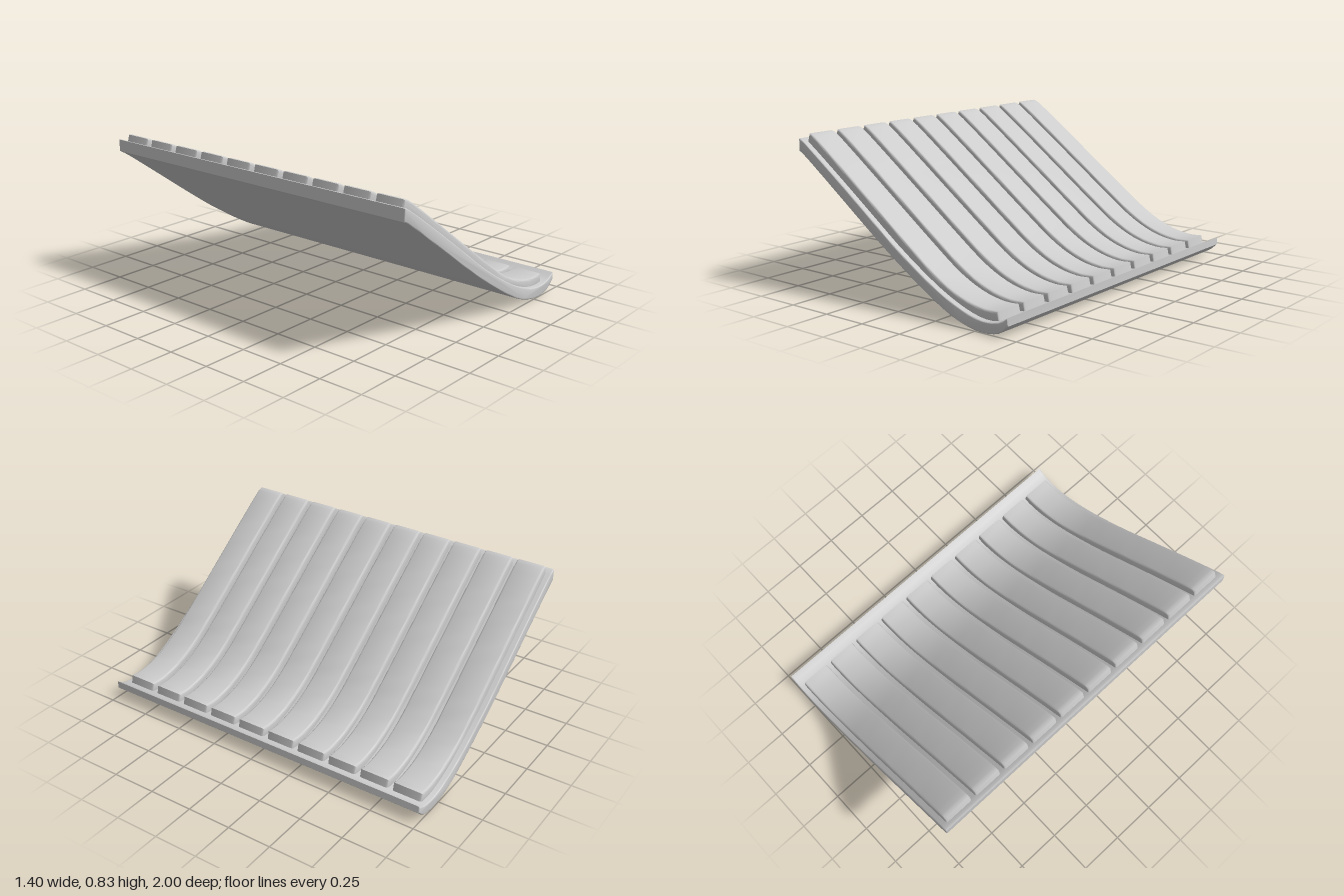
import * as THREE from 'three';
import { toCreasedNormals } from 'three/addons/utils/BufferGeometryUtils.js';

const material = new THREE.MeshStandardMaterial({ color: 0xcccccc });

// Side-view curves, running from the high end to the low, upturned end
const under = [[-0.697, 0.745], [-0.634, 0.706], [-0.42, 0.552], [-0.2, 0.392], [0, 0.253],
  [0.234, 0.109], [0.385, 0.036], [0.528, 0.004], [0.64, 0.018], [0.7, 0.065]];
const upper = [[-0.697, 0.811], [-0.65, 0.789], [-0.42, 0.628], [-0.2, 0.468], [0.008, 0.317],
  [0.234, 0.177], [0.404, 0.098], [0.536, 0.064], [0.64, 0.073], [0.698, 0.105]];
const padTop = [[-0.655, 0.837], [-0.605, 0.817], [-0.4, 0.671], [-0.2, 0.525], [0.04, 0.35],
  [0.234, 0.215], [0.385, 0.143], [0.517, 0.113], [0.613, 0.114]];
const padUnder = [[-0.672, 0.775], [-0.42, 0.603], [-0.2, 0.443], [0.008, 0.292],
  [0.234, 0.152], [0.404, 0.073], [0.536, 0.04], [0.628, 0.05]];

const smooth = (points) =>
  new THREE.SplineCurve(points.map(([x, y]) => new THREE.Vector2(x, y))).getPoints(28);

// Extrudes the area between two curves across z, with rounded rims
function curvedSlab(name, bottom, top, width, bevel) {
  const shape = new THREE.Shape([...smooth(bottom), ...smooth(top).reverse()]);
  const geometry = new THREE.ExtrudeGeometry(shape, {
    depth: width - 2 * bevel,
    bevelThickness: bevel,
    bevelSize: bevel,
    bevelOffset: -bevel,
    bevelSegments: 3,
  });
  geometry.translate(0, 0, bevel - width / 2);
  const mesh = new THREE.Mesh(toCreasedNormals(geometry, 0.6), material);
  mesh.name = name;
  return mesh;
}

export function createModel() {
  const model = new THREE.Group();
  model.name = 'curvedRibbedPanel';

  // Base sheet
  model.add(curvedSlab('baseSheet', under, upper, 2, 0.006));

  // Ten raised pads separated by narrow grooves
  const pads = new THREE.Group();
  pads.name = 'raisedPads';
  const pad = curvedSlab('raisedPad', padUnder, padTop, 0.168, 0.012);
  for (let i = 0; i < 10; i++) {
    const copy = pad.clone();
    copy.position.z = (i - 4.5) * 0.1965;
    pads.add(copy);
  }
  model.add(pads);
  return model;
}
